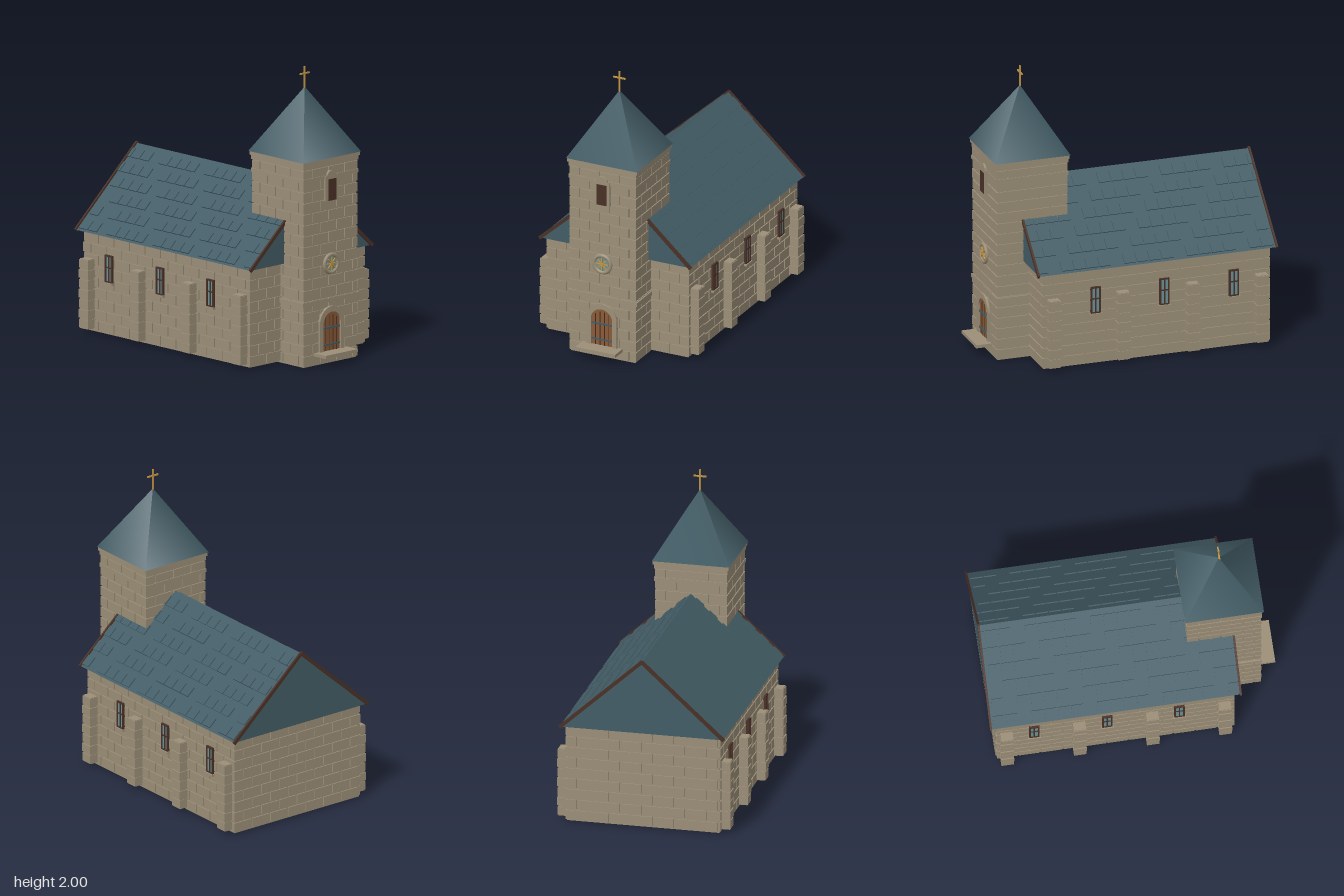
import * as THREE from 'three';
import { mergeGeometries } from 'three/addons/utils/BufferGeometryUtils.js';

const mat = (name, color) => Object.assign(new THREE.MeshStandardMaterial({ color }), { name });
const stone = mat('stone', 0x9c8f78);
const slate = mat('slate', 0x435d66);
const trim = mat('dark wood', 0x4a3127);
const oak = mat('oak', 0x8a5a36);
const glass = mat('glass', 0x6c9298);
const gold = mat('gold', 0xc29442);

// box geometry from size and centre
const box = (w, h, d, x = 0, y = 0, z = 0) => new THREE.BoxGeometry(w, h, d).translate(x, y, z);

function add(parent, name, material, ...geos) {
  const mesh = new THREE.Mesh(geos.length > 1 ? mergeGeometries(geos) : geos[0], material);
  mesh.name = name;
  parent.add(mesh);
  return mesh;
}

// running-bond stone blocks standing slightly proud of a wall facing +z
function courses(width, y0, y1, proud = 0.008, rowH = 0.075, len = 0.15) {
  const geos = [], gap = 0.011;
  const rows = Math.round((y1 - y0) / rowH), h = (y1 - y0) / rows;
  for (let r = 0; r < rows; r++) {
    for (let x = -width / 2 - (r % 2) * len / 2; x < width / 2 - 0.02; x += len) {
      const a = Math.max(x, -width / 2 - proud), b = Math.min(x + len - gap, width / 2 + proud);
      if (b - a > 0.02) geos.push(box(b - a, h - gap, 0.02, (a + b) / 2, y0 + (r + 0.5) * h, proud - 0.01));
    }
  }
  return mergeGeometries(geos);
}

function wall(parent, name, width, y0, y1, x, z, rotY) {
  const m = add(parent, name, stone, courses(width, y0, y1));
  m.position.set(x, 0, z);
  m.rotation.y = rotY;
}

// round-topped outline from y0 up to a semicircle springing at ys
function arch(r, y0, ys, Type = THREE.Shape) {
  const s = new Type();
  s.moveTo(-r, y0);
  s.lineTo(r, y0);
  s.lineTo(r, ys);
  s.absarc(0, ys, r, 0, Math.PI, false);
  s.closePath();
  return s;
}

const extrude = (shape, depth, z) =>
  new THREE.ExtrudeGeometry(shape, { depth, bevelEnabled: false, curveSegments: 16 }).translate(0, 0, z);

function buildNave() {
  const g = new THREE.Group();
  g.name = 'nave';
  add(g, 'naveCore', stone, box(1.054, 0.69, 1.604, 0, 0.355, -0.145));
  wall(g, 'backWallBlocks', 1.054, 0.015, 0.69, 0, -0.947, Math.PI);
  for (const s of [-1, 1]) {
    wall(g, 'sideWallBlocks', 1.604, 0.015, 0.69, s * 0.527, -0.145, s * Math.PI / 2);
    wall(g, 'frontWallBlocks', 0.28, 0.015, 0.69, s * 0.387, 0.657, 0);

    // buttresses with staggered stones
    for (const z of [0.595, 0.103, -0.392, -0.885]) {
      const stones = [box(0.07, 0.48, 0.078, s * 0.557, 0.27, z)];
      for (let i = 0; i < 7; i++) {
        const odd = i % 2 ? 0.006 : 0;
        stones.push(box(0.08, 0.058, 0.084 + odd, s * (0.557 + odd / 2), 0.064 + i * 0.0687, z));
      }
      add(g, 'buttress', stone, ...stones);
    }

    // side windows with crossed glazing bars and a sill
    for (const z of [0.29, -0.2, -0.695]) {
      const w = new THREE.Group();
      w.name = 'sideWindow';
      w.position.set(s * 0.535, 0.465, z);
      w.rotation.y = s * Math.PI / 2;
      add(w, 'windowGlass', glass, box(0.06, 0.18, 0.008, 0, 0, 0.004));
      add(w, 'windowFrame', trim,
        box(0.01, 0.19, 0.018, -0.03, 0, 0.006), box(0.01, 0.19, 0.018, 0.03, 0, 0.006),
        box(0.07, 0.01, 0.018, 0, 0.09, 0.006), box(0.07, 0.01, 0.018, 0, -0.09, 0.006),
        box(0.009, 0.18, 0.014, 0, 0, 0.006), box(0.06, 0.009, 0.014, 0, 0.01, 0.006));
      add(w, 'windowSill', stone, box(0.085, 0.014, 0.03, 0, -0.1, 0.008));
      g.add(w);
    }
  }
  return g;
}

function buildNaveRoof() {
  const g = new THREE.Group();
  g.name = 'naveRoof';
  const half = 0.565, eave = 0.69, ridge = 1.2, rise = ridge - eave;
  const tri = new THREE.Shape([[-half, eave], [half, eave], [0, ridge]].map(p => new THREE.Vector2(...p)));
  add(g, 'roofBody', slate, extrude(tri, 1.69, -0.99));

  const slope = Math.hypot(half, rise), angle = Math.atan2(rise, half);
  for (const s of [-1, 1]) {
    // side frame: local x runs up the slope from the eave, y points out of it
    const side = new THREE.Group();
    side.name = 'roofSlope';
    side.position.set(s * half, eave, 0);
    side.rotation.set(0, s > 0 ? Math.PI : 0, angle, 'YXZ');
    // slates in groups of four, each row shifted by one
    const tiles = [], pitch = 0.089;
    for (let r = 0; r < 6; r++) {
      for (let i = -8; i < 20; i++) {
        if ((((i - r) % 5) + 5) % 5 === 4) continue;
        const front = Math.min(0.532 - i * pitch + r * 0.004, 0.695);
        const back = Math.max(0.532 - (i + 1) * pitch + 0.007 + r * 0.004, -0.985);
        if (front - back < 0.015) continue;
        tiles.push(box(0.076, 0.014, front - back, 0.056 + r * 0.1245, 0.001, -s * (front + back) / 2));
      }
    }
    add(side, 'roofSlates', slate, ...tiles);
    // barge boards along both gables
    add(side, 'bargeBoards', trim, ...[0.703, -0.993].map(z =>
      box(slope + 0.008, 0.024, 0.014, slope / 2, 0, -s * z)));
    g.add(side);
  }
  return g;
}

function buildTower() {
  const g = new THREE.Group();
  g.name = 'tower';
  const cz = 0.638, h = 0.242;
  add(g, 'towerCore', stone, box(0.484, 1.42, 0.488, 0, 0.71, cz));
  for (let i = 0; i < 4; i++) {
    const a = i * Math.PI / 2;
    wall(g, 'towerBlocks', 0.484, 0.005, 1.36, Math.sin(a) * h, cz + Math.cos(a) * 0.244, a);
  }
  // string courses and cornice
  add(g, 'stringCourses', stone, box(0.52, 0.028, 0.51, 0, 0.433, cz),
    box(0.51, 0.026, 0.514, 0, 1.285, cz), box(0.508, 0.03, 0.512, 0, 1.375, cz),
    box(0.525, 0.03, 0.525, 0, 1.405, cz));

  add(g, 'spireRoof', slate,
    new THREE.ConeGeometry(0.268 * Math.SQRT2, 0.445, 4).rotateY(Math.PI / 4).translate(0, 1.6375, cz));
  add(g, 'cross', gold, box(0.01, 0.15, 0.01, 0, 1.925, cz), box(0.09, 0.01, 0.01, 0, 1.952, cz));

  // belfry opening with a small arched hood
  const hood = new THREE.Shape();
  hood.moveTo(-0.06, 1.12);
  hood.lineTo(0.06, 1.12);
  hood.lineTo(0.06, 1.295);
  hood.lineTo(0.042, 1.295);
  hood.absellipse(0, 1.295, 0.042, 0.033, 0, Math.PI, false);
  hood.lineTo(-0.06, 1.295);
  hood.closePath();
  add(g, 'belfrySurround', stone, extrude(hood, 0.022, 0.882));
  add(g, 'belfryShutter', trim, box(0.07, 0.148, 0.006, 0, 1.196, 0.905));
  return g;
}

function buildRoseWindow() {
  const g = new THREE.Group();
  g.name = 'roseWindow';
  g.position.set(0, 0.685, 0.893);
  add(g, 'roseSurround', stone, new THREE.TorusGeometry(0.061, 0.014, 8, 32));
  add(g, 'roseGlass', glass, new THREE.CircleGeometry(0.056, 32).translate(0, 0, 0.004));
  const spokes = [0, 1, 2, 3].map(i => box(0.095, 0.008, 0.008, 0, 0, 0.007).rotateZ(i * Math.PI / 4));
  add(g, 'roseTracery', gold, ...spokes,
    new THREE.CylinderGeometry(0.013, 0.013, 0.01, 16).rotateX(Math.PI / 2).translate(0, 0, 0.007));
  return g;
}

function buildEntrance() {
  const g = new THREE.Group();
  g.name = 'entrance';
  const frame = arch(0.113, 0.085, 0.28);
  frame.holes.push(arch(0.08, 0.086, 0.275, THREE.Path));
  add(g, 'doorSurround', stone, extrude(frame, 0.025, 0.88));
  add(g, 'door', oak, extrude(arch(0.08, 0.085, 0.275), 0.012, 0.882));
  add(g, 'plankJoints', trim, ...[-0.05, -0.017, 0.017, 0.05].map(x =>
    box(0.004, 0.255 - Math.abs(x) * 0.5, 0.003, x, 0.213 - Math.abs(x) * 0.25, 0.895)));
  add(g, 'doorHinges', slate, ...[0.13, 0.245].map(y => box(0.156, 0.012, 0.006, 0, y, 0.897)));
  add(g, 'doorStep', stone, box(0.3, 0.022, 0.12, 0, 0.077, 0.94));
  return g;
}

export function createModel() {
  const model = new THREE.Group();
  model.name = 'church';
  model.add(buildNave(), buildNaveRoof(), buildTower(), buildRoseWindow(), buildEntrance());
  return model;
}
